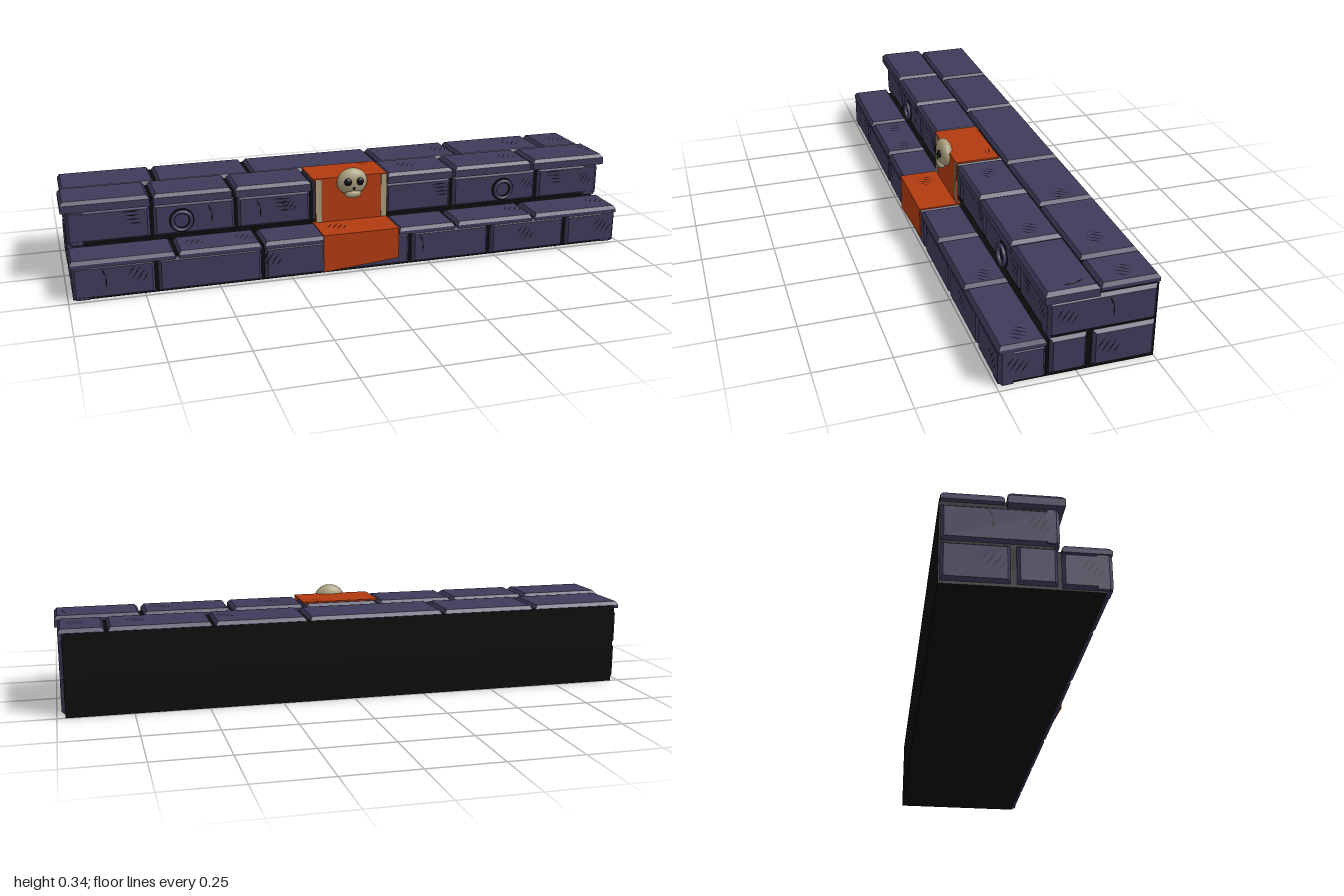
import * as THREE from 'three';

const mat = (name, color, side = THREE.FrontSide) => {
  const m = new THREE.MeshStandardMaterial({ color, side });
  m.name = name;
  return m;
};

export function createModel() {
  const root = new THREE.Group();
  root.name = 'stoneSteps';
  const stone = mat('stone', 0x3d3b59);
  const black = mat('black', 0x0a0a0a);
  const ink = mat('crackBlack', 0x0a0a0a, THREE.DoubleSide);
  const red = mat('redCloth', 0xb03a10, THREE.DoubleSide);
  const bone = mat('bone', 0xa89c7c);

  const add = (name, geo, material, parent = root) => {
    const m = new THREE.Mesh(geo, material);
    m.name = name;
    parent.add(m);
    return m;
  };
  const box = (name, x0, x1, y0, y1, z0, z1, material) =>
    add(name, new THREE.BoxGeometry(x1 - x0, y1 - y0, z1 - z0), material)
      .position.set((x0 + x1) / 2, (y0 + y1) / 2, (z0 + z1) / 2);

  // Places geometry drawn in the xy plane on a face; u is x (or z on the ends)
  const place = (mesh, face, u, v, n) => {
    if (face === 'front') mesh.position.set(u, v, n);
    if (face === 'top') {
      mesh.rotation.x = -Math.PI / 2;
      mesh.position.set(u, n, v);
    }
    if (face === 'left') {
      mesh.rotation.y = Math.PI / 2;
      mesh.position.set(n, v, u);
    }
    if (face === 'right') {
      mesh.rotation.y = -Math.PI / 2;
      mesh.position.set(-n, v, u);
    }
  };

  // Stone with a bevelled outer face
  const brick = (face, u0, u1, v0, v1, base, out, bevel = 0.009) => {
    const w = u1 - u0, h = v1 - v0, d = out - base, edge = Math.min(0.012, d * 0.6);
    const shape = new THREE.BoxGeometry(w, h, d, 1, 1, 2).toNonIndexed();
    const p = shape.attributes.position;
    for (let i = 0; i < p.count; i++) {
      const z = p.getZ(i);
      if (Math.abs(z) < 1e-5) p.setZ(i, d / 2 - edge);
      if (z > 1e-5) p.setXY(i, p.getX(i) * (1 - 2 * bevel / w), p.getY(i) * (1 - 2 * bevel / h));
    }
    shape.computeVertexNormals();
    place(add(face + 'Stone', shape, stone), face, (u0 + u1) / 2, (v0 + v1) / 2, (base + out) / 2);
  };
  const row = (face, seams, v0, v1, base, out, bevel) => {
    for (let i = 0; i + 1 < seams.length; i++)
      brick(face, seams[i] + 0.006, seams[i + 1] - 0.006, v0, v1, base, out, bevel);
  };

  // Dark mortar core
  box('lowerCore', -0.972, 0.972, 0, 0.125, -0.25, 0.228, black);
  box('upperCore', -0.972, 0.972, 0.12, 0.28, -0.25, 0.082, black);

  // Front faces and treads
  row('front', [-0.99, -0.71, -0.35, 0.18, 0.48, 0.78, 0.99], 0.005, 0.12, 0.2, 0.246);
  row('front', [-0.99, -0.7, -0.41, -0.14, 0.13, 0.39, 0.73, 0.985], 0.145, 0.258, 0.06, 0.097);
  row('top', [-0.995, -0.64, -0.35, 0.13, 0.35, 0.65, 0.99], 0.1, 0.246, 0.116, 0.14, 0.008);
  row('top', [-1.006, -0.7, -0.42, -0.14, 0.13, 0.39, 0.7, 1.0], -0.055, 0.113, 0.262, 0.3, 0.01);
  row('top', [-0.995, -0.66, -0.32, 0.16, 0.48, 0.83, 0.99], -0.248, -0.062, 0.27, 0.294, 0.008);

  // End faces
  for (const face of ['left', 'right']) {
    brick(face, -0.245, 0.096, 0.14, 0.258, 0.93, 0.984);
    brick(face, 0.1, 0.244, 0.005, 0.12, 0.93, 0.984);
    brick(face, -0.028, 0.088, 0.01, 0.133, 0.93, 0.984);
    brick(face, -0.245, -0.046, 0.01, 0.133, 0.93, 0.984);
  }

  // Scratches: groups of thin slivers
  const sliver = (x0, y0, x1, y1, t) => {
    const dx = x1 - x0, dy = y1 - y0, l = Math.hypot(dx, dy);
    const mx = (x0 + x1) / 2, my = (y0 + y1) / 2;
    return new THREE.Shape([
      new THREE.Vector2(x0, y0), new THREE.Vector2(mx + dy / l * t, my - dx / l * t),
      new THREE.Vector2(x1, y1), new THREE.Vector2(mx - dy / l * t, my + dx / l * t)]);
  };
  const hatch = (face, u, v, n, s = 0.06) => {
    const lines = [0, 1, 2, 3].map(i => {
      const c = (i - 1.5) * s * 0.25, l = s * (i % 3 ? 0.42 : 0.28);
      return sliver(c - l * 0.7, -c * 0.6 - l, c + l * 0.7, -c * 0.6 + l, s * 0.035);
    });
    place(add('scratches', new THREE.ShapeGeometry(lines), ink), face, u, v, n);
  };
  const dashes = (u, v) => {
    const lines = [0, 1, 2, 3].map(i =>
      sliver(-0.035 + i * 0.007, 0.02 - i * 0.014, 0.038, 0.02 - i * 0.014, 0.0025));
    place(add('grooves', new THREE.ShapeGeometry(lines), ink), 'front', u, v, 0.0985);
  };
  const crack = (face, u, v, n) => {
    const lines = [sliver(-0.01, 0.038, 0.006, 0.002, 0.003), sliver(0.005, 0.008, 0.004, -0.034, 0.003)];
    place(add('crack', new THREE.ShapeGeometry(lines), ink), face, u, v, n);
  };
  for (const [x, y] of [[-0.77, 0.08], [-0.32, 0.08], [0.62, 0.075], [0.93, 0.07]]) hatch('front', x, y, 0.2475);
  for (const [x, y] of [[-0.22, 0.215], [0.69, 0.21], [0.93, 0.21]]) hatch('front', x, y, 0.0985, 0.05);
  for (const [x, y] of [[-0.77, 0.225], [-0.25, 0.22], [0.34, 0.22], [0.8, 0.225]]) dashes(x, y);
  for (const x of [-0.5, -0.33]) crack('front', x, 0.21, 0.0985);
  for (const x of [-0.88, 0.22]) crack('front', x, 0.075, 0.2475);
  for (const x of [0.43, 0.73, 0.93]) hatch('top', x, -0.15, 0.2955);
  for (const x of [0.23, 0.63]) hatch('top', x, 0.03, 0.3015);
  for (const x of [-0.57, -0.4, 0.6, 0.93]) hatch('top', x, 0.17, 0.1415);
  hatch('top', -0.07, 0.175, 0.146);
  hatch('top', 0.08, -0.02, 0.307, 0.04);
  crack('top', 0.96, 0.02, 0.3015);
  for (const face of ['left', 'right']) {
    hatch(face, 0.19, 0.07, 0.9855);
    hatch(face, 0.04, 0.205, 0.9855);
    hatch(face, -0.095, 0.075, 0.9855, 0.065);
    crack(face, -0.1, 0.21, 0.9855);
  }

  // Hanging rings on the riser
  for (const x of [-0.6, 0.59]) {
    add('ring', new THREE.TorusGeometry(0.033, 0.007, 6, 16), stone).position.set(x, 0.197, 0.107);
    add('ringShadow', new THREE.RingGeometry(0.024, 0.044, 20), ink).position.set(x, 0.197, 0.0988);
  }

  // Cloth runner draped over both steps
  box('clothTop', -0.14, 0.132, 0.299, 0.305, -0.04, 0.116, red);
  box('clothRiser', -0.132, 0.132, 0.14, 0.304, 0.111, 0.116, red);
  box('clothTread', -0.14, 0.132, 0.139, 0.144, 0.1, 0.25, red);
  const flap = new THREE.Shape([[-0.14, 0.01], [0.132, 0.034], [0.132, 0.144], [-0.14, 0.144]]
    .map(p => new THREE.Vector2(...p)));
  add('clothFlap', new THREE.ExtrudeGeometry(flap, { depth: 0.004, bevelEnabled: false }), red)
    .position.z = 0.247;
  for (const x of [-0.12, 0.12]) box('clothTrim', x - 0.01, x + 0.01, 0.146, 0.302, 0.115, 0.118, bone);

  // Skull ornament
  const skull = new THREE.Group();
  skull.name = 'skull';
  root.add(skull);
  const ball = (name, x, y, z, rx, ry, rz, material) => {
    const m = add(name, new THREE.SphereGeometry(1, 16, 12), material, skull);
    m.position.set(x, y, z);
    m.scale.set(rx, ry, rz);
  };
  ball('cranium', 0, 0.288, 0.122, 0.056, 0.049, 0.028, bone);
  ball('jaw', 0, 0.246, 0.136, 0.03, 0.015, 0.015, bone);
  for (const s of [-1, 1]) ball('eye', s * 0.022, 0.293, 0.146, 0.014, 0.014, 0.008, black);
  ball('nose', 0, 0.27, 0.147, 0.005, 0.007, 0.003, black);

  return root;
}
